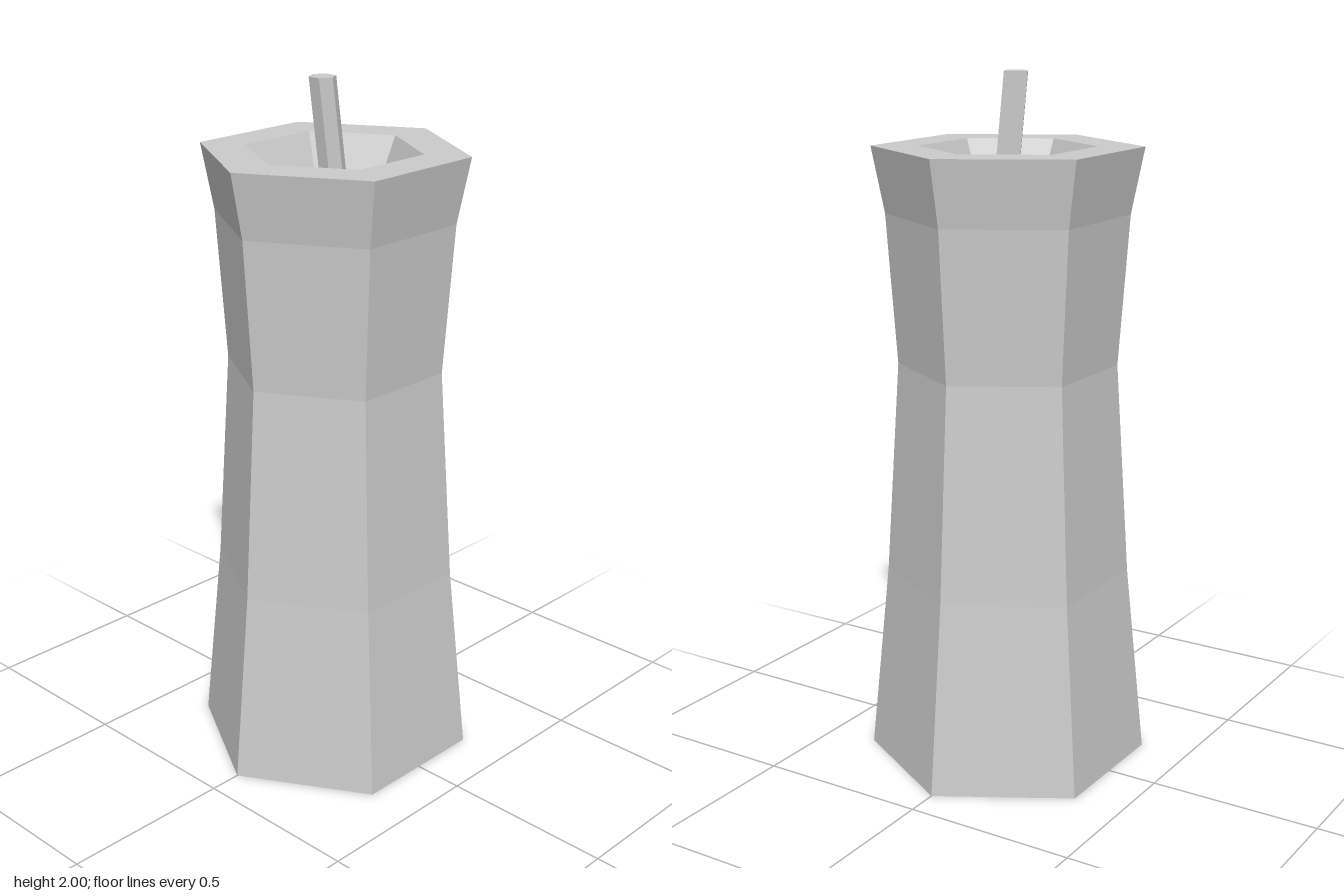
import * as THREE from 'three';

export function createModel() {
  const model = new THREE.Group();
  model.name = 'candle';
  const material = new THREE.MeshStandardMaterial({ color: 0xcccccc, flatShading: true });

  // Waisted six-sided wax body with a sunken pool at the top
  const poolY = 1.7;
  const profile = [
    [0, 0], [0.407, 0], [0.352, 0.56], [0.313, 1.18], [0.343, 1.61], [0.38, 1.797],
    [0.25, 1.797], [0.2, poolY], [0, poolY],
  ].map(([r, y]) => new THREE.Vector2(r, y));
  const body = new THREE.Mesh(new THREE.LatheGeometry(profile, 6), material);
  body.name = 'waxBody';
  model.add(body);

  // Six-sided wick, sheared so it leans while its ends stay level
  const height = 2 - poolY;
  const wickGeometry = new THREE.CylinderGeometry(0.038, 0.038, height, 6, 1, false, Math.PI / 2);
  wickGeometry.translate(0, height / 2, 0);
  const position = wickGeometry.attributes.position;
  for (let i = 0; i < position.count; i++) {
    const t = position.getY(i) / height;
    position.setX(i, position.getX(i) + 0.008 - 0.011 * t);
    position.setZ(i, position.getZ(i) + 0.006 + 0.033 * t);
  }
  wickGeometry.computeVertexNormals();
  const wick = new THREE.Mesh(wickGeometry, material);
  wick.name = 'wick';
  wick.position.y = poolY;
  model.add(wick);

  return model;
}
